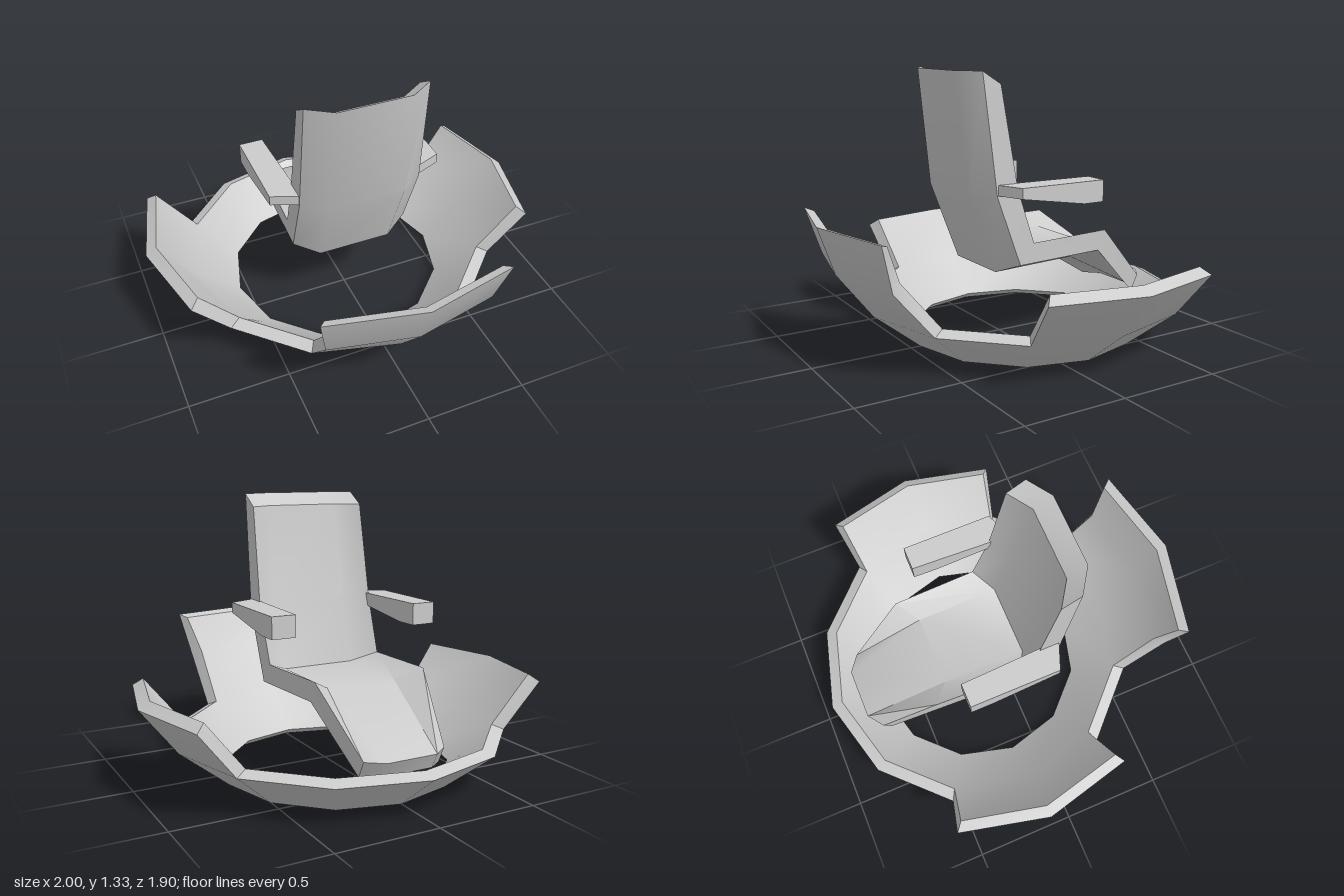
import * as THREE from 'three';
import { toCreasedNormals } from 'three/addons/utils/BufferGeometryUtils.js';

const material = new THREE.MeshStandardMaterial({ color: 0xcccccc });
const v = (x, y, z) => new THREE.Vector3(x, y, z);

// Collects quads (corners counterclockwise from outside) into one creased mesh
function quadMesh(name, quads, crease = 0.65) {
  const points = quads.flatMap(([a, b, c, d]) => [a, b, c, a, c, d]);
  const geometry = new THREE.BufferGeometry().setFromPoints(points);
  const mesh = new THREE.Mesh(toCreasedNormals(geometry, crease), material);
  mesh.name = name;
  return mesh;
}

// Closed solid through sections of equal point count; caps pair opposite points
function loft(sections) {
  const quads = [], n = sections[0].length, last = sections.length - 1;
  for (let i = 0; i < last; i++) {
    for (let j = 0; j < n; j++) {
      const k = (j + 1) % n, a = sections[i], b = sections[i + 1];
      quads.push([b[j], b[k], a[k], a[j]]);
    }
  }
  const s = sections[0], e = sections[last];
  for (let j = 0; j < n / 2 - 1; j++) {
    quads.push([s[j], s[j + 1], s[n - 2 - j], s[n - 1 - j]]);
    quads.push([e[n - 1 - j], e[n - 2 - j], e[j + 1], e[j]]);
  }
  return quads;
}

// Twelve-sided dish with a round opening and three raised panels
function makeDish() {
  const quads = [];
  const polar = (r, y, deg) => {
    const a = THREE.MathUtils.degToRad(deg);
    return v(r * Math.sin(a), y, -0.13 + r * Math.cos(a));
  };
  const panels = [
    { at: 0, rows: [[1.0, 0.42, 24.7, 0.94, 0.455, 24], [1.08, 0.65, 25.5, 1.03, 0.635, 24.8]] },
    { at: 90, rows: [[1.0, 0.42, 26.7, 0.945, 0.455, 25.9]] },
    { at: 270, rows: [[1.0, 0.42, 26.7, 0.945, 0.455, 25.9]] },
  ];
  const hasPanel = (mid) => panels.some((p) => Math.abs(((mid - p.at + 540) % 360) - 180) < 30);

  // Lower ring
  for (let d = 0; d < 360; d += 30) {
    const [a, b] = [d, d + 30].map((t) => ({
      ob: polar(0.58, 0, t), ot: polar(0.82, 0.19, t),
      it: polar(0.76, 0.215, t), ib: polar(0.545, 0.03, t),
    }));
    quads.push([a.ob, b.ob, b.ot, a.ot], [b.ib, a.ib, a.it, b.it], [a.ib, b.ib, b.ob, a.ob]);
    if (!hasPanel(d + 15)) quads.push([a.ot, b.ot, b.it, a.it]);
  }

  // Raised panels, each two facets wide
  for (const { at, rows } of panels) {
    const grid = [[0.82, 0.19, 30, 0.76, 0.215, 30], ...rows].map(([ro, yo, ho, ri, yi, hi]) =>
      [-1, 0, 1].map((s) => ({ o: polar(ro, yo, at + s * ho), i: polar(ri, yi, at + s * hi) })));
    for (let r = 0; r < grid.length - 1; r++) {
      const lo = grid[r], up = grid[r + 1];
      for (let c = 0; c < 2; c++) {
        quads.push([lo[c].o, lo[c + 1].o, up[c + 1].o, up[c].o]);
        quads.push([lo[c + 1].i, lo[c].i, up[c].i, up[c + 1].i]);
      }
      quads.push([lo[0].i, lo[0].o, up[0].o, up[0].i]);
      quads.push([lo[2].o, lo[2].i, up[2].i, up[2].o]);
    }
    const top = grid[grid.length - 1];
    for (let c = 0; c < 2; c++) quads.push([top[c].o, top[c + 1].o, top[c + 1].i, top[c].i]);
  }
  return quadMesh('dish', quads);
}

// Reclined shell: backrest, seat and leg rest with angled side wings
function makeChair() {
  // half width, half centre width, then [z, y] of outer centre, outer wing, inner centre, inner wing
  const sections = [
    [0.30, 0.18, [0.35, 1.33], [0.27, 1.33], [0.255, 1.27], [0.175, 1.27]],
    [0.31, 0.19, [0.285, 0.76], [0.20, 0.76], [0.17, 0.79], [0.09, 0.79]],
    [0.305, 0.185, [0.135, 0.37], [0.07, 0.42], [0.07, 0.47], [-0.005, 0.52]],
    [0.29, 0.18, [-0.31, 0.385], [-0.40, 0.43], [-0.355, 0.47], [-0.44, 0.53]],
    [0.21, 0.13, [-0.75, 0.16], [-0.69, 0.155], [-0.79, 0.235], [-0.73, 0.235]],
  ].map(([w, c, oc, ow, ic, iw]) => {
    const p = (x, [z, y]) => v(x, y, z);
    return [p(-w, ow), p(-c, oc), p(c, oc), p(w, ow), p(w, iw), p(c, ic), p(-c, ic), p(-w, iw)];
  });
  return quadMesh('chairShell', loft(sections));
}

// Armrest, deeper toward its free end
function makeArm(side) {
  // inner x, inner z, outer z, underside y
  const sections = [[0.295, 0.2, 0.145, 0.765], [0.312, -0.2, -0.2, 0.71], [0.316, -0.31, -0.31, 0.71]]
    .map(([xi, zi, zo, lo]) => {
      const s = [v(side * xi, lo, zi), v(side * 0.435, lo, zo),
        v(side * 0.435, 0.815, zo), v(side * xi, 0.815, zi)];
      return side < 0 ? s.reverse() : s;
    });
  return quadMesh(side > 0 ? 'leftArmrest' : 'rightArmrest', loft(sections), 0.1);
}

export function createModel() {
  const group = new THREE.Group();
  group.name = 'dishChair';
  group.add(makeDish(), makeChair(), makeArm(1), makeArm(-1));
  return group;
}
